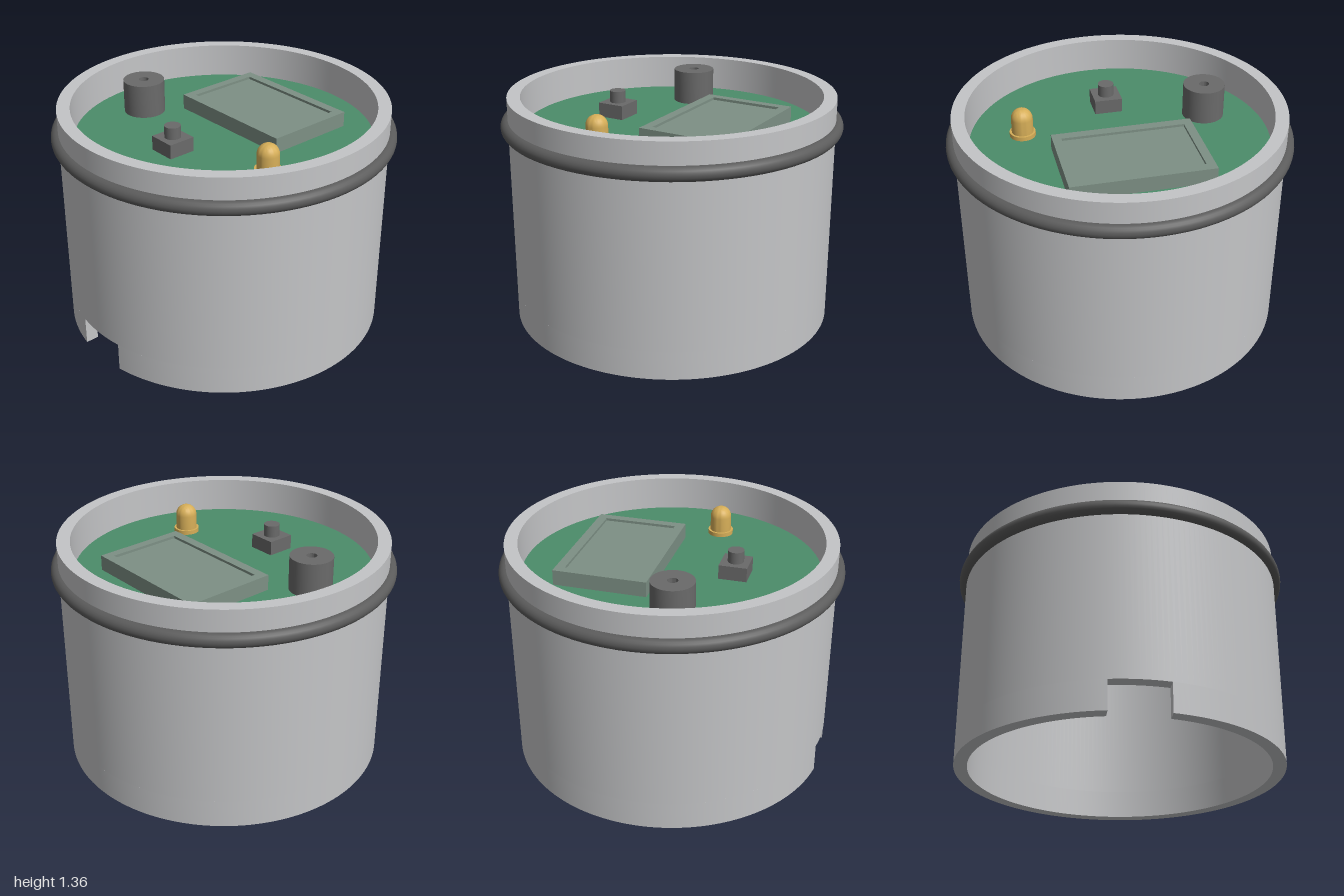
import * as THREE from 'three';
import { toCreasedNormals } from 'three/addons/utils/BufferGeometryUtils.js';

const mat = (name, color) => Object.assign(new THREE.MeshStandardMaterial({ color }), { name });

export function createModel() {
  const model = new THREE.Group();
  model.name = 'sensorHousing';
  const shell = mat('light grey shell', 0xc4c5c7);
  const rubber = mat('dark rubber', 0x5c5c5c);
  const board = mat('board green', 0x4c8c6a);
  const plastic = mat('dark grey plastic', 0x6a6a6a);
  const glass = mat('grey green screen', 0x7d9085);
  const amber = mat('amber', 0xd6ae58);

  const add = (name, geo, material, x = 0, y = 0, z = 0, parent = model) => {
    const mesh = new THREE.Mesh(geo, material);
    mesh.name = name;
    mesh.position.set(x, y, z);
    parent.add(mesh);
    return mesh;
  };
  // Extrude a plan shape upwards (shape y becomes -z)
  const rise = (shape, depth, curveSegments = 96) => toCreasedNormals(
    new THREE.ExtrudeGeometry(shape, { depth, bevelEnabled: false, curveSegments }).rotateX(-Math.PI / 2), 0.5);
  // Lathe from [radius, height] pairs, keeping corners sharp
  const turn = (points, segments = 40) => toCreasedNormals(
    new THREE.LatheGeometry(points.map(([r, y]) => new THREE.Vector2(r, y)), segments), 0.6);
  const rect = (T, w, d) => new T([[-w, -d], [w, -d], [w, d], [-w, d]].map(([x, y]) => new THREE.Vector2(x, y)));

  // Tubular wall: lower band with the cable notch at the front, full ring above
  const R = 0.957, r = 0.88, H = 1.36, notchH = 0.17, notchW = 0.165, PI = Math.PI;
  const a = Math.asin(notchW / R), b = Math.asin(notchW / r);
  const lower = new THREE.Shape();
  lower.absarc(0, 0, R, -PI / 2 + a, 1.5 * PI - a, false);
  lower.absarc(0, 0, r, 1.5 * PI - b, -PI / 2 + b, true);
  lower.closePath();
  add('notchedWall', rise(lower, notchH), shell);
  const upper = new THREE.Shape().absarc(0, 0, R, 0, 2 * PI, false);
  upper.holes.push(new THREE.Path().absarc(0, 0, r, 0, 2 * PI, true));
  add('upperWall', rise(upper, H - notchH), shell, 0, notchH, 0);

  // Sealing ring
  add('sealRing', new THREE.TorusGeometry(0.958, 0.042, 20, 96).rotateX(PI / 2), rubber, 0, 1.19, 0);

  // Circuit board
  const top = 1.16;
  add('circuitBoard', new THREE.CylinderGeometry(0.873, 0.873, 0.04, 96), board, 0, top - 0.02, 0);

  // Display: raised frame around a slightly sunken screen
  const display = new THREE.Group();
  display.name = 'display';
  display.position.set(0, top, -0.305);
  model.add(display);
  const frame = rect(THREE.Shape, 0.41, 0.275);
  frame.holes.push(rect(THREE.Path, 0.358, 0.22));
  add('displayFrame', rise(frame, 0.09), glass, 0, 0, 0, display);
  add('displayScreen', new THREE.BoxGeometry(0.716, 0.075, 0.44), glass, 0, 0.0375, 0, display);

  // Buzzer with a sound hole in its top
  add('buzzer', turn([[0, 0], [0.123, 0], [0.123, 0.2], [0.03, 0.2], [0.03, 0.16], [0, 0.16]]),
    plastic, -0.55, top, 0.162);

  // Push button
  add('buttonBase', new THREE.BoxGeometry(0.165, 0.085, 0.165), plastic, 0, top + 0.0425, 0.38);
  add('buttonKnob', new THREE.CylinderGeometry(0.047, 0.047, 0.07, 32), plastic, 0, top + 0.12, 0.38);

  // Indicator lamp: flange, body and dome
  const lamp = [[0, 0], [0.076, 0], [0.076, 0.025], [0.063, 0.025], [0.063, 0.11]];
  for (let i = 1; i <= 10; i++) {
    const t = (i / 10) * PI / 2;
    lamp.push([i === 10 ? 0 : 0.063 * Math.cos(t), 0.11 + 0.063 * Math.sin(t)]);
  }
  add('indicatorLamp', turn(lamp), amber, 0.545, top, 0.16);

  return model;
}
